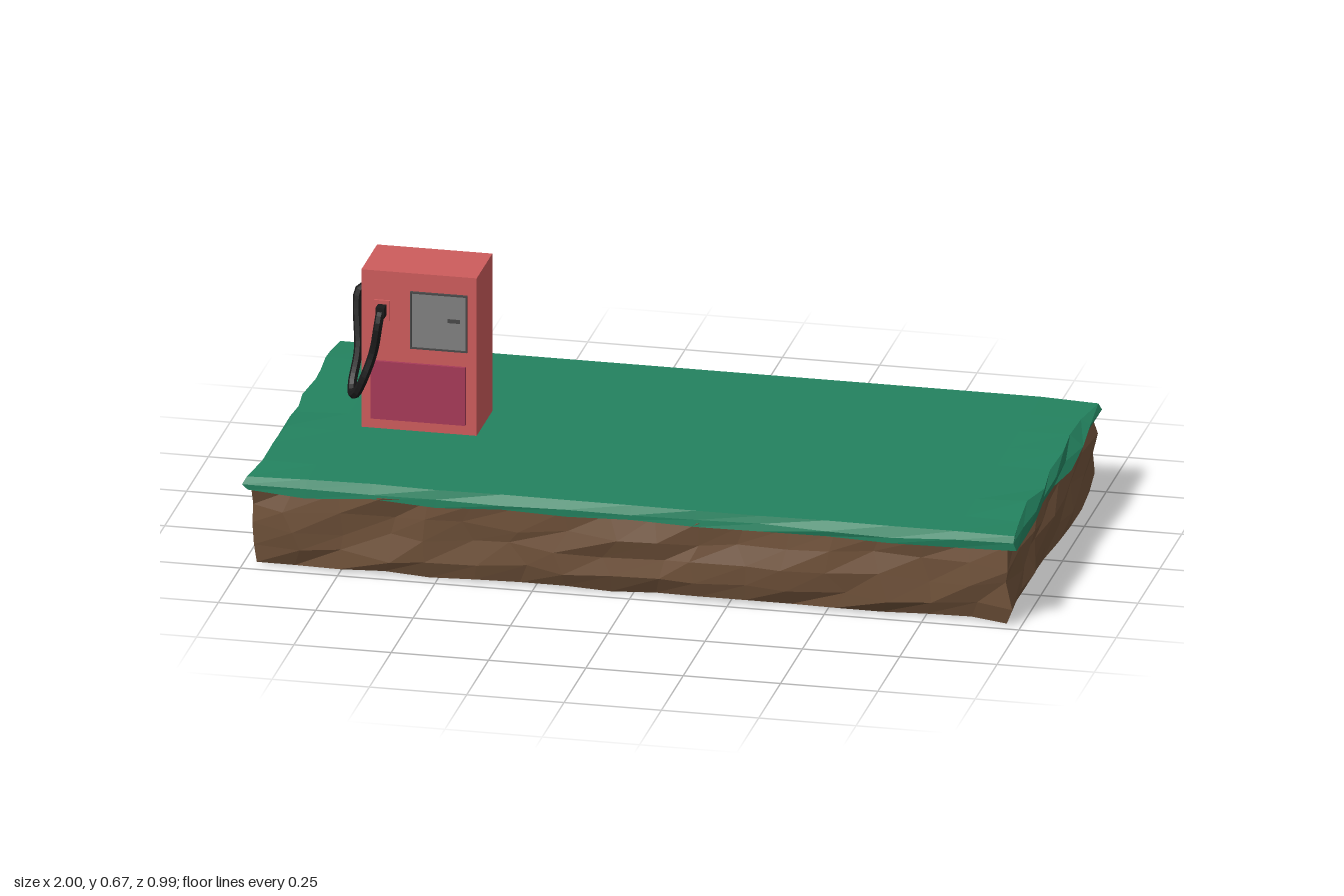
import * as THREE from 'three';

const material = (name, color) => {
  const m = new THREE.MeshStandardMaterial({ color });
  m.name = name;
  return m;
};

// Repeatable noise from a position, 0..1, so shared corners stay together
const noise = (x, y, z, k) => {
  const s = Math.sin(x * 127.1 + y * 311.7 + z * 74.7 + k * 19.3) * 43758.5453;
  return s - Math.floor(s);
};

// Box whose vertices are moved by a rule, with faceted normals
function roughBox(w, h, d, nx, ny, nz, rule) {
  const geo = new THREE.BoxGeometry(w, h, d, nx, ny, nz);
  const pos = geo.attributes.position;
  const v = new THREE.Vector3();
  for (let i = 0; i < pos.count; i++) {
    v.fromBufferAttribute(pos, i);
    const q = v.toArray().map((n) => Math.round(n * 1000) / 1000 + 0);
    rule(v, {
      end: Math.abs(v.x) > w / 2 - 0.001 ? Math.sign(v.x) : 0,
      front: v.z > d / 2 - 0.001,
      back: v.z < -d / 2 + 0.001,
      t: v.y / h + 0.5,
    }, (k) => noise(q[0], q[1], q[2], k));
    pos.setXYZ(i, v.x, v.y, v.z);
  }
  const flat = geo.toNonIndexed();
  flat.computeVertexNormals();
  return flat;
}

export function createModel() {
  const soil = material('soil brown', 0x70523a);
  const grass = material('grass green', 0x23825f);
  const red = material('pump red', 0xcd5c5c);
  const crimson = material('panel crimson', 0xa63a58);
  const grey = material('screen grey', 0x808080);
  const dark = material('trim dark grey', 0x484848);
  const black = material('hose black', 0x1a1a1a);

  const model = new THREE.Group();
  model.name = 'fuelPumpIsland';
  const add = (parent, name, geo, mat, x = 0, y = 0, z = 0) => {
    const mesh = new THREE.Mesh(geo, mat);
    mesh.name = name;
    mesh.position.set(x, y, z);
    parent.add(mesh);
    return mesh;
  };

  // Soil slab: rocky front and ends, flat back
  const soilGeo = roughBox(1.97, 0.212, 0.98, 17, 4, 8, (v, s, n) => {
    const inner = s.t > 0.01 && s.t < 0.99;
    const tuck = s.t < 0.01 ? 0.014 : 0;
    if (s.end) v.x -= s.end * (n(1) * 0.026 + tuck);
    if (s.front) v.z -= n(2) * 0.022 + tuck;
    if (inner && !s.back && (s.end || s.front)) v.y += (n(3) - 0.5) * 0.03;
    if (s.t < 0.01 && s.front) v.y += n(4) * 0.012;
    if (inner && s.front && !s.end) v.x += (n(5) - 0.5) * 0.06;
    if (inner && s.end && !s.front && !s.back) v.z += (n(6) - 0.5) * 0.06;
  });
  add(model, 'soilSlab', soilGeo, soil, 0, 0.106, 0);

  // Grass layer with an uneven lip
  const grassGeo = roughBox(2, 0.04, 0.985, 12, 2, 8, (v, s, n) => {
    const inset = s.t > 0.99 ? 0.012 : 0;
    if (s.end) v.x -= s.end * (n(1) * 0.024 + inset);
    if (s.front) v.z -= n(2) * 0.008 + inset;
    if (s.back) v.z -= 0.003;
    if ((s.end || s.front) && s.t < 0.99) v.y += (n(3) - 0.6) * 0.014;
    if (s.end && s.t > 0.99) v.y += (n(4) - 0.5) * 0.014;
  });
  add(model, 'grassLayer', grassGeo, grass, 0, 0.223, 0);

  // Pump cabinet
  const pump = new THREE.Group();
  pump.name = 'fuelPump';
  model.add(pump);
  const box = (name, mat, x0, x1, y0, y1, z0, z1) =>
    add(pump, name, new THREE.BoxGeometry(x1 - x0, y1 - y0, z1 - z0), mat,
      (x0 + x1) / 2, (y0 + y1) / 2, (z0 + z1) / 2);
  box('cabinet', red, -0.782, -0.486, 0.235, 0.665, -0.096, 0.084);
  box('lowerPanel', crimson, -0.757, -0.514, 0.27, 0.425, 0.082, 0.092);

  // Display with thin dark frame and slots
  box('screen', grey, -0.653, -0.512, 0.469, 0.613, 0.081, 0.087);
  for (const [x0, x1, y0, y1] of [
    [-0.656, -0.509, 0.613, 0.617], [-0.656, -0.509, 0.465, 0.469],
    [-0.656, -0.652, 0.465, 0.617], [-0.513, -0.509, 0.465, 0.617],
  ]) box('screenFrame', dark, x0, x1, y0, y1, 0.082, 0.091);
  box('cardSlot', dark, -0.56, -0.528, 0.541, 0.551, 0.083, 0.089);

  // Nozzle holder
  box('nozzleHolder', red, -0.748, -0.708, 0.534, 0.588, 0.082, 0.09);
  box('nozzle', black, -0.738, -0.716, 0.55, 0.578, 0.085, 0.118);

  // Hose from the nozzle, looping down and up to the cabinet side
  const path = new THREE.CatmullRomCurve3([
    [-0.727, 0.566, 0.09], [-0.727, 0.563, 0.112], [-0.73, 0.535, 0.124],
    [-0.743, 0.46, 0.122], [-0.768, 0.385, 0.13], [-0.788, 0.345, 0.12],
    [-0.803, 0.335, 0.095], [-0.809, 0.355, 0.066], [-0.801, 0.43, 0.035],
    [-0.809, 0.53, 0.01], [-0.808, 0.575, 0], [-0.796, 0.588, -0.005],
    [-0.778, 0.588, -0.005],
  ].map((p) => new THREE.Vector3(...p)));
  const hose = new THREE.TubeGeometry(path, 36, 0.0115, 6).toNonIndexed();
  hose.computeVertexNormals();
  add(pump, 'hose', hose, black);

  return model;
}
